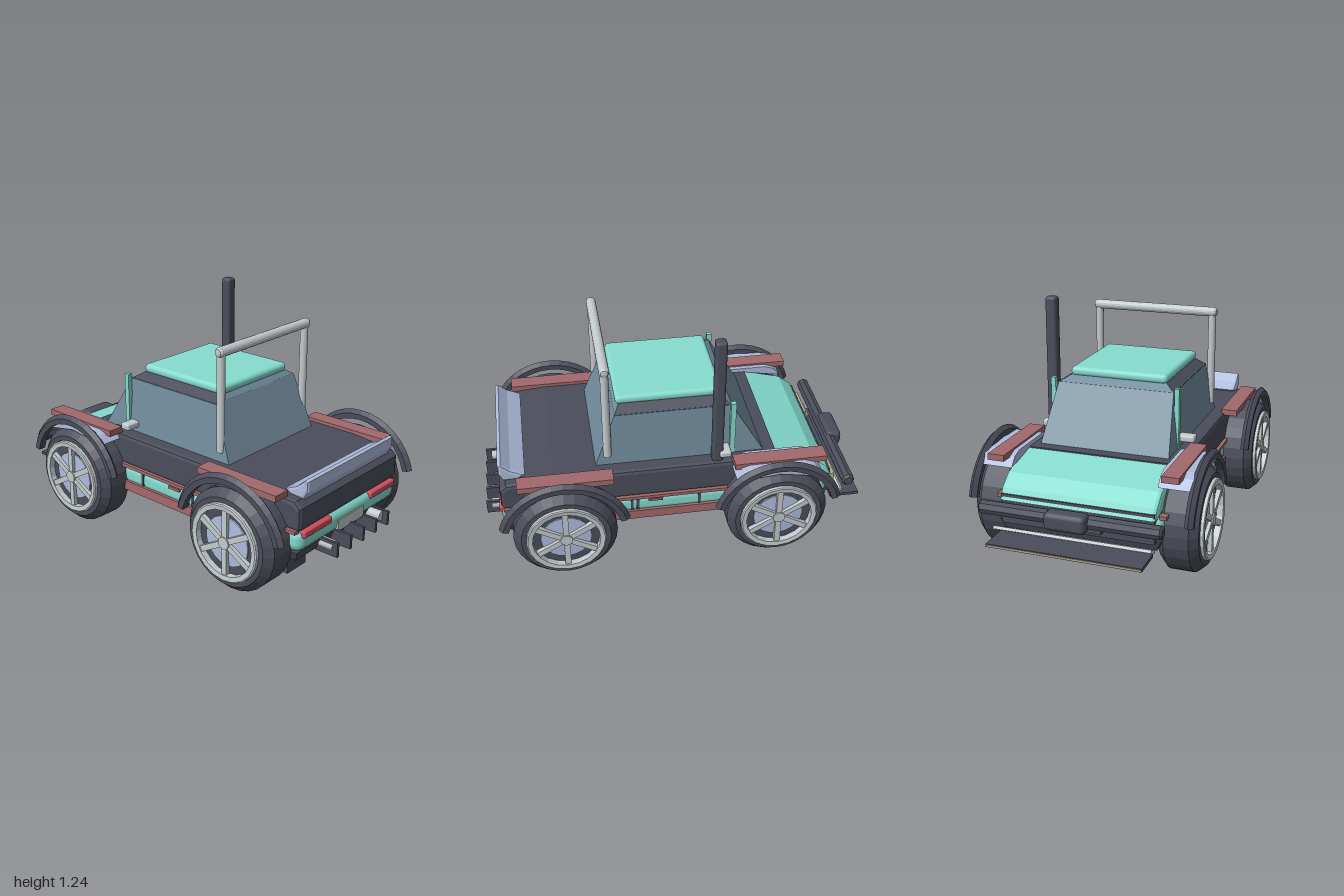
import * as THREE from 'three';
import { RoundedBoxGeometry } from 'three/addons/geometries/RoundedBoxGeometry.js';

const mat = (name, color) => Object.assign(new THREE.MeshStandardMaterial({ color }), { name });

export function createModel() {
  const teal = mat('teal paint', 0x86dccf);
  const dark = mat('dark plastic', 0x4b4e5b);
  const blue = mat('pale blue trim', 0xafbcdd);
  const glass = mat('glass', 0x728d9d);
  const rose = mat('rose trim', 0xa2696d);
  const red = mat('tail light red', 0xcc4f5a);
  const grey = mat('light metal', 0xc3cbce);
  const tan = mat('lamp tan', 0xb9ac8c);

  const root = new THREE.Group();
  root.name = 'offRoadPickup';
  const add = (name, geo, material, x = 0, y = 0, z = 0, parent = root) => {
    const m = new THREE.Mesh(geo, material);
    m.name = name;
    m.position.set(x, y, z);
    parent.add(m);
    return m;
  };
  // Box given by its min / max extents
  const box = (name, material, x0, x1, y0, y1, z0, z1, r = 0) => {
    const s = [x1 - x0, y1 - y0, z1 - z0];
    const g = r ? new RoundedBoxGeometry(...s, 2, r) : new THREE.BoxGeometry(...s);
    return add(name, g, material, (x0 + x1) / 2, (y0 + y1) / 2, (z0 + z1) / 2);
  };
  // The same box on both sides
  const pair = (name, material, x0, x1, ...rest) => {
    box(name + 'Left', material, x0, x1, ...rest);
    box(name + 'Right', material, -x1, -x0, ...rest);
  };
  // Side profile of [z, y] points, extruded across x
  const prism = (name, material, pts, width, bevel = 0, x = 0) => {
    const g = new THREE.ExtrudeGeometry(new THREE.Shape(pts.map(p => new THREE.Vector2(...p))), {
      depth: width - 2 * bevel, bevelEnabled: bevel > 0, bevelSize: bevel,
      bevelThickness: bevel, bevelOffset: -bevel, bevelSegments: 2,
    });
    g.translate(0, 0, bevel - width / 2).rotateY(-Math.PI / 2);
    return add(name, g, material, x);
  };
  // Tapered block between two rectangles [half width, z min, z max]
  const frustum = (name, material, low, high, y0, y1) => {
    const g = new THREE.BoxGeometry(2, 2, 2);
    const p = g.attributes.position;
    for (let i = 0; i < p.count; i++) {
      const r = p.getY(i) > 0 ? high : low;
      p.setXYZ(i, p.getX(i) * r[0], p.getY(i) > 0 ? y1 : y0, p.getZ(i) > 0 ? r[2] : r[1]);
    }
    g.computeVertexNormals();
    return add(name, g, material);
  };
  // Turned part whose axis lies along x
  const turned = (pts, segments, start = 0, length = Math.PI * 2) => {
    const g = new THREE.LatheGeometry(pts.map(p => new THREE.Vector2(...p)), segments, start, length)
      .rotateZ(-Math.PI / 2).toNonIndexed();
    g.computeVertexNormals();
    return g;
  };

  // Lower body
  frustum('underbody', dark, [0.39, -0.78, 0.88], [0.415, -0.8, 0.9], 0.195, 0.25);
  box('lowerBody', teal, -0.42, 0.42, 0.24, 0.365, -0.815, 0.915, 0.05);
  prism('upperBody', dark, [[-0.52, 0.36], [0.9, 0.36], [0.912, 0.38], [0.912, 0.48], [0.88, 0.51],
    [0.64, 0.53], [-0.52, 0.53]], 0.84, 0.02);
  pair('sill', rose, 0.36, 0.432, 0.22, 0.272, -0.27, 0.37);
  pair('sideStrip', rose, 0.40, 0.435, 0.352, 0.37, -0.78, 0.9);
  pair('doorHandle', rose, 0.41, 0.43, 0.328, 0.342, 0.085, 0.16);
  for (const z of [0.245, 0.215, -0.11]) pair('doorSeam', dark, 0.415, 0.424, 0.275, 0.35, z - 0.007, z + 0.007);

  // Nose and hood
  box('nose', dark, -0.39, 0.39, 0.24, 0.39, -0.82, -0.5);
  prism('hood', teal, [[-0.515, 0.40], [-0.515, 0.525], [-0.73, 0.47], [-0.80, 0.415], [-0.828, 0.36],
    [-0.80, 0.35]].reverse(), 0.8, 0.02);
  pair('headlight', tan, 0.18, 0.38, 0.285, 0.345, -0.852, -0.8);
  box('grille', dark, -0.14, 0.14, 0.27, 0.345, -0.86, -0.8);

  // Bumper bar, winch and skid plate
  add('bumperBar', turned([[0, -0.46], [0.025, -0.46], [0.035, -0.45], [0.035, 0.45], [0.025, 0.46], [0, 0.46]], 8),
    dark, 0, 0.35, -0.905);
  box('winch', dark, -0.105, 0.105, 0.305, 0.395, -0.975, -0.89, 0.025);
  box('skidPlate', dark, -0.39, 0.39, 0.188, 0.205, -0.998, -0.84);
  box('skidPlateEdge', tan, -0.385, 0.385, 0.191, 0.199, -1.0, -0.99);
  prism('skidDeflector', grey, [[-0.84, 0.21], [-0.84, 0.225], [-0.89, 0.25], [-0.905, 0.24]].reverse(), 0.8);

  // Cabin
  frustum('cabinGlass', glass, [0.345, -0.475, 0.43], [0.31, -0.285, 0.31], 0.5, 0.815);
  frustum('roofFrame', [dark, dark, glass, glass, glass, glass],
    [0.312, -0.285, 0.312], [0.25, -0.23, 0.28], 0.812, 0.85);
  box('roof', teal, -0.262, 0.262, 0.838, 0.887, -0.245, 0.3, 0.022);
  pair('windscreenPost', teal, 0.32, 0.345, 0.52, 0.84, -0.305, -0.278);
  pair('mirror', grey, 0.33, 0.417, 0.555, 0.592, -0.275, -0.215, 0.012);

  // Roll bar and snorkel
  for (const s of [-1, 1])
    add('rollBarPost', new THREE.CylinderGeometry(0.021, 0.021, 0.52, 16), grey, s * 0.33, 0.84, 0.355);
  const bar = turned([[0, -0.358], [0.018, -0.355], [0.026, -0.343], [0.026, 0.343], [0.018, 0.355], [0, 0.358]], 16);
  add('rollBarCross', bar, grey, 0, 1.096, 0.355);
  box('snorkel', dark, 0.342, 0.402, 0.52, 1.242, -0.235, -0.178, 0.015);

  // Tail: spoiler, lights, plate, exhausts, diffuser, flaps
  prism('tailSpoiler', blue, [[0.82, 0.505], [0.89, 0.505], [0.912, 0.545], [0.912, 0.60], [0.895, 0.605],
    [0.85, 0.565], [0.78, 0.53]], 0.73, 0.015);
  pair('tailLight', red, 0.168, 0.388, 0.322, 0.358, 0.89, 0.925, 0.008);
  box('numberPlate', grey, -0.11, 0.11, 0.25, 0.31, 0.9, 0.921);
  for (const s of [-1, 1])
    add('exhaust', new THREE.CylinderGeometry(0.027, 0.027, 0.12, 12).rotateX(Math.PI / 2), grey, s * 0.205, 0.23, 0.91);
  for (let i = -2; i <= 2; i++)
    box('diffuserFin', dark, i * 0.11 - 0.008, i * 0.11 + 0.008, 0.185, 0.26, 0.87, 1.0);
  pair('mudFlap', dark, 0.25, 0.395, 0.108, 0.22, 0.81, 0.835);

  // Wheels with arches
  const tire = turned([[0, -0.1], [0.225, -0.1], [0.265, -0.062], [0.265, 0.062], [0.228, 0.102],
    [0.203, 0.102], [0.195, 0.085], [0, 0.085]], 28);
  const rim = turned([[0.172, 0.08], [0.203, 0.08], [0.203, 0.117], [0.196, 0.121], [0.172, 0.118], [0.172, 0.08]], 20);
  const hub = turned([[0, 0.08], [0.13, 0.08], [0.13, 0.092], [0, 0.097]], 20);
  const cap = turned([[0, 0.08], [0.032, 0.08], [0.032, 0.118], [0, 0.118]], 12);
  const spoke = new THREE.BoxGeometry(0.024, 0.36, 0.03);
  const arch = turned([[0.292, -0.02], [0.322, -0.022], [0.342, 0], [0.322, 0.022], [0.292, 0.02], [0.292, -0.02]],
    16, Math.PI + 0.25, Math.PI - 0.5);
  for (const z of [0.6, -0.5]) for (const s of [-1, 1]) {
    const wheel = new THREE.Group();
    wheel.name = 'wheel';
    wheel.position.set(s * 0.473, 0.265, z);
    wheel.rotation.y = s < 0 ? Math.PI : 0;
    root.add(wheel);
    add('tire', tire, dark, 0, 0, 0, wheel);
    add('rim', rim, grey, 0, 0, 0, wheel);
    add('hubDisc', hub, blue, 0, 0, 0, wheel);
    add('hubCap', cap, grey, 0, 0, 0, wheel);
    for (let i = 0; i < 3; i++) add('spoke', spoke, grey, 0.1, 0, 0, wheel).rotation.x = i * Math.PI / 3;
    add('wheelArch', arch, dark, s * 0.55, 0.265, z);
  }

  // Fender boards and front fenders
  pair('rearFenderBoard', rose, 0.4, 0.487, 0.515, 0.548, 0.34, 0.825);
  pair('frontFenderBoard', rose, 0.4, 0.487, 0.53, 0.562, -0.76, -0.28);
  for (const s of [-1, 1])
    prism('frontFender', blue, [[-0.28, 0.50], [-0.32, 0.54], [-0.36, 0.552], [-0.64, 0.552], [-0.69, 0.535],
      [-0.73, 0.49], [-0.66, 0.50], [-0.5, 0.53], [-0.36, 0.515]], 0.18, 0, s * 0.465);

  return root;
}
